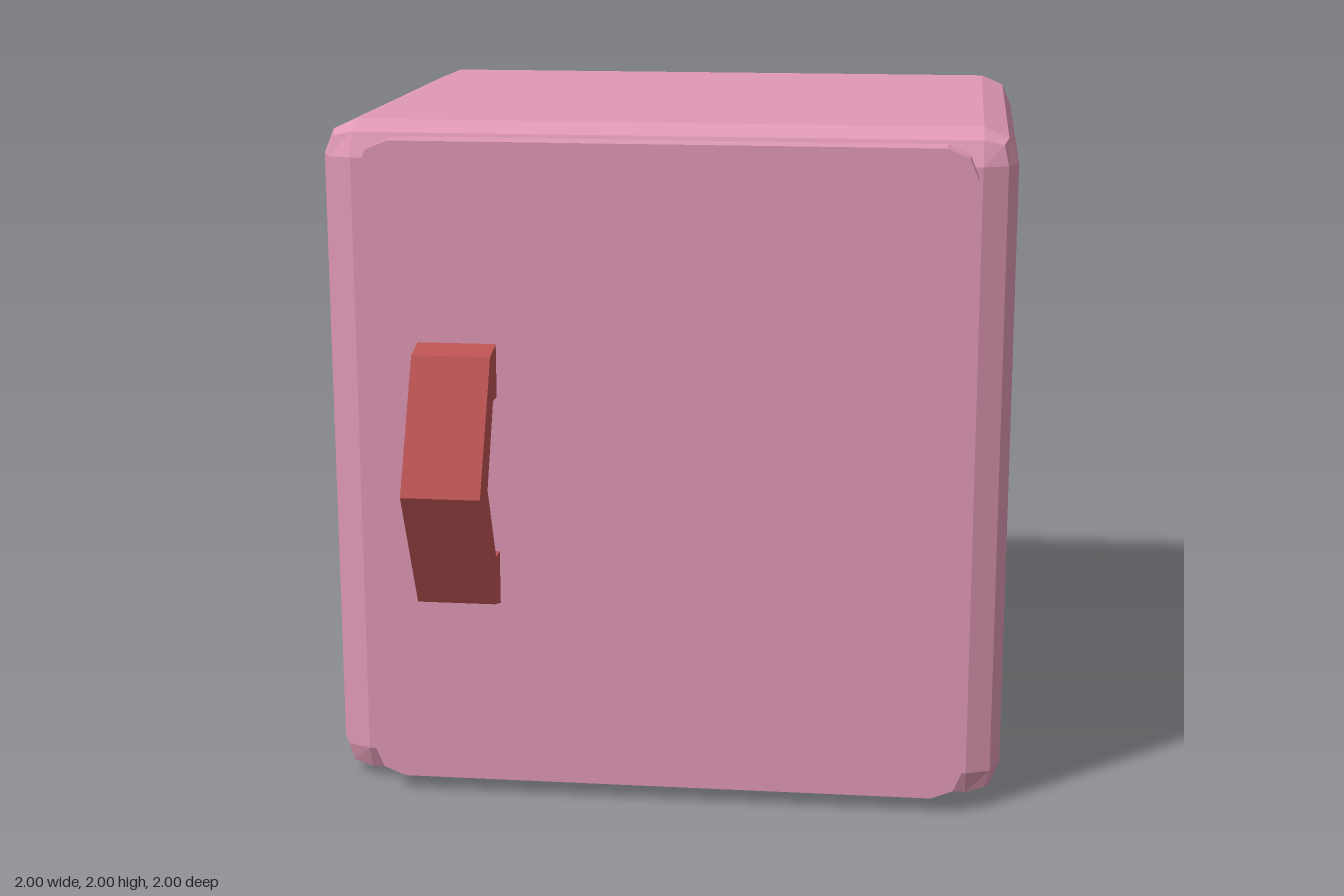
import * as THREE from 'three';
import { RoundedBoxGeometry } from 'three/addons/geometries/RoundedBoxGeometry.js';

// Rectangle outline whose corners are cut in two steps of 45 degrees
function roundedOutline(width, height, radius) {
  const points = [];
  for (let corner = 0; corner < 4; corner++) {
    const sx = corner === 0 || corner === 3 ? 1 : -1;
    const sy = corner < 2 ? 1 : -1;
    for (let step = 0; step <= 2; step++) {
      const angle = (corner + step / 2) * Math.PI / 2;
      points.push(new THREE.Vector2(
        sx * (width / 2 - radius) + radius * Math.cos(angle),
        sy * (height / 2 - radius) + radius * Math.sin(angle)));
    }
  }
  return new THREE.Shape(points);
}

export function createModel() {
  const pink = new THREE.MeshStandardMaterial({ color: 0xe099b5, flatShading: true });
  pink.name = 'pink';
  const red = new THREE.MeshStandardMaterial({ color: 0xbc5452, flatShading: true });
  red.name = 'red';

  const model = new THREE.Group();
  model.name = 'cabinet';
  const add = (name, geometry, material) => {
    const mesh = new THREE.Mesh(geometry, material);
    mesh.name = name;
    model.add(mesh);
    return mesh;
  };

  // Body with softly cut edges
  add('body', new RoundedBoxGeometry(2, 2, 1.66, 1, 0.1), pink).position.set(0, 1, -0.17);

  // Door panel on the front
  const door = new THREE.ExtrudeGeometry(roundedOutline(1.755, 1.915, 0.09),
    { depth: 0.13, bevelEnabled: false });
  add('door', door, pink).position.set(0.0125, 1.0025, 0.6);

  // Angular pull handle: profile in z and y, extruded across x
  const profile = [
    [0.72, 1.38], [0.73, 1.38], [0.815, 1.36], [1, 0.99], [0.815, 0.625], [0.73, 0.602], [0.72, 0.602],
    [0.72, 0.76], [0.785, 0.76], [0.89, 0.99], [0.785, 1.225], [0.72, 1.225],
  ].map(([z, y]) => new THREE.Vector2(z, y));
  const handle = new THREE.ExtrudeGeometry(new THREE.Shape(profile),
    { depth: 0.228, bevelEnabled: false });
  handle.rotateY(-Math.PI / 2);
  add('handle', handle, red).position.x = -0.473;

  return model;
}
